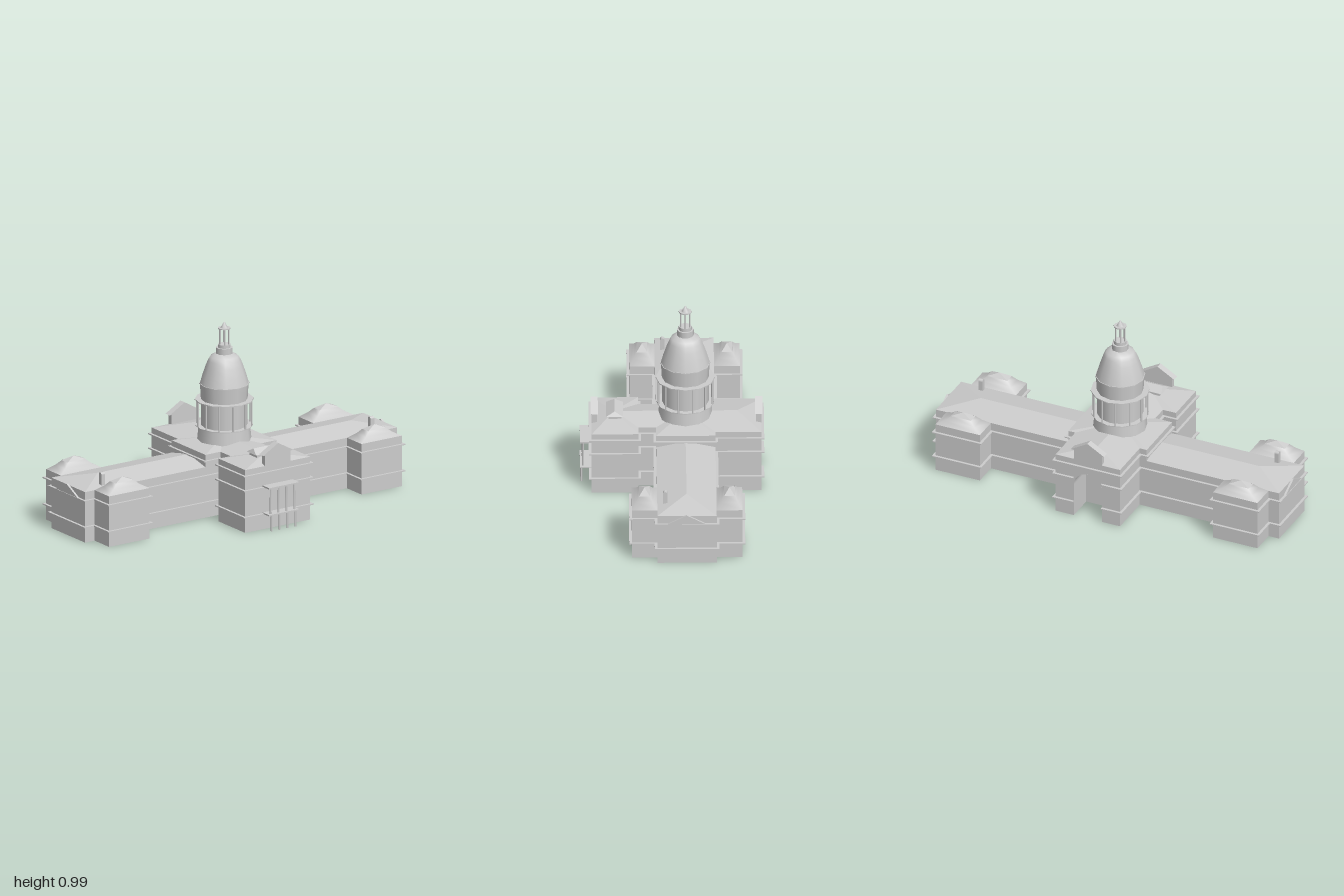
import * as THREE from 'three';
import { ConvexGeometry } from 'three/addons/geometries/ConvexGeometry.js';

export function createModel() {
  const model = new THREE.Group();
  model.name = 'domedCivicBuilding';
  // Double sided because the walls are hollow shells without a floor
  const stone = new THREE.MeshStandardMaterial({ color: 0xcccccc, side: THREE.DoubleSide });
  stone.name = 'paleStone';

  const add = (name, geometry, x = 0, y = 0, z = 0, parent = model) => {
    const mesh = new THREE.Mesh(geometry, stone);
    mesh.name = name;
    mesh.position.set(x, y, z);
    parent.add(mesh);
    return mesh;
  };
  // Box given by its limits
  const block = (name, x0, x1, y0, y1, z0, z1) =>
    add(name, new THREE.BoxGeometry(x1 - x0, y1 - y0, z1 - z0), (x0 + x1) / 2, (y0 + y1) / 2, (z0 + z1) / 2);
  // Upright walls along a ground path of [x, z] corners
  const walls = (name, path, height) => {
    for (let i = 1; i < path.length; i++) {
      const [ax, az] = path[i - 1], [bx, bz] = path[i];
      const wall = add(name, new THREE.PlaneGeometry(Math.hypot(bx - ax, bz - az), height), (ax + bx) / 2, height / 2, (az + bz) / 2);
      wall.rotation.y = Math.atan2(az - bz, bx - ax);
    }
  };
  // Thin string course projecting from a path of square corners
  const ledge = (name, path, y, out = 0.014) => {
    const normal = (a, b) => [-Math.sign(b[1] - a[1]) * out, Math.sign(b[0] - a[0]) * out];
    const outer = path.map((p, i) => {
      const n = i > 0 ? normal(path[i - 1], p) : [0, 0];
      const m = i < path.length - 1 ? normal(p, path[i + 1]) : [0, 0];
      return [p[0] + n[0] + m[0], p[1] + n[1] + m[1]];
    });
    const strip = [...outer, ...[...path].reverse()].map(([x, z]) => new THREE.Vector2(x, -z));
    const geometry = new THREE.ExtrudeGeometry(new THREE.Shape(strip), { depth: 0.006, bevelEnabled: false });
    add(name, geometry.rotateX(-Math.PI / 2), 0, y - 0.003, 0);
  };
  // Mirror a path across x = 0, keeping its direction of travel
  const mirror = (path) => path.map(([x, z]) => [-x, z]).reverse();
  // Hipped roof: rectangular eaves rising to a ridge (or a point)
  const hip = (name, x0, x1, z0, z1, y0, y1, a, b = a) => {
    const v = (x, y, z) => new THREE.Vector3(x, y, z);
    const points = [v(x0, y0, z0), v(x1, y0, z0), v(x1, y0, z1), v(x0, y0, z1), v(a[0], y1, a[1])];
    if (b !== a) points.push(v(b[0], y1, b[1]));
    return add(name, new ConvexGeometry(points));
  };
  // Triangular prism facing z
  const gable = (halfWidth, height, depth) => {
    const s = new THREE.Shape();
    s.moveTo(-halfWidth, 0);
    s.lineTo(halfWidth, 0);
    s.lineTo(0, height);
    s.closePath();
    return new THREE.ExtrudeGeometry(s, { depth, bevelEnabled: false });
  };

  // Long wings with corner pavilions
  const midZ = -0.07;
  const leftWing = [[0.225, 0.083], [0.6695, 0.083], [0.6695, 0.215], [0.9245, 0.215], [0.9245, 0.083], [0.985, 0.083],
    [0.985, -0.225], [0.9245, -0.225], [0.9245, -0.36], [0.6695, -0.36], [0.6695, -0.225], [0.225, -0.225]];
  for (const path of [leftWing, mirror(leftWing)]) {
    walls('wingWall', path, 0.275);
    for (const y of [0.085, 0.229]) ledge('wingLedge', path, y);
  }
  hip('wingRoof', -0.985, 0.985, -0.225, 0.083, 0.275, 0.308, [-0.8, midZ], [0.8, midZ]);

  // Flared four-sided pavilion roof, scaled to each plan
  const flare = [[1, 0.275], [0.66, 0.298], [0.42, 0.323]].map(([r, y]) => new THREE.Vector2(r * Math.SQRT2, y));
  for (const side of [-1, 1]) {
    // Pediment on each end wall
    const pediment = add('endPediment', gable(0.105, 0.054, 0.011), side * 0.985, 0.228, midZ);
    pediment.rotation.y = side * Math.PI / 2;

    // Chimney with a rounded cap
    block('chimney', side * 0.85 - 0.012, side * 0.85 + 0.012, 0.275, 0.338, 0.03, 0.054);
    const cap = add('chimneyCap', new THREE.CylinderGeometry(0.012, 0.012, 0.024, 12), side * 0.85, 0.338, 0.042);
    cap.rotation.z = Math.PI / 2;

    const cx = side * 0.797;
    for (const [z0, z1] of [[0.083, 0.215], [-0.36, -0.225]]) {
      const cz = (z0 + z1) / 2;
      const roof = add('pavilionRoof', new THREE.LatheGeometry(flare, 4, Math.PI / 4), cx, 0, cz);
      roof.scale.set(0.1275, 1, (z1 - z0) / 2);
      hip('pavilionRoofCap', cx - 0.058, cx + 0.058, cz - 0.028, cz + 0.028, 0.322, 0.344, [cx, cz]);
    }
  }

  // Central crossing, neck, front wing and rear wing
  const archR = 0.08, rearZ = -0.465, w = 0.185, top = 0.342;
  const leftCentre = [[0.205, 0.418], [0.205, 0.175], [0.13, 0.175], [0.13, 0.083], [0.225, 0.083],
    [0.225, -0.225], [w, -0.225], [w, rearZ]];
  const centre = [...mirror(leftCentre), ...leftCentre];
  walls('centralWall', centre, top);
  for (const y of [0.085, 0.229]) ledge('centralLedge', [[-archR, rearZ], ...centre, [archR, rearZ]], y);
  ledge('centralCornice', [[0, rearZ], ...centre, [0, rearZ]], 0.308);
  hip('crossingRoof', -0.225, 0.225, -0.225, 0.083, top, 0.372, [0, midZ]);
  hip('neckRoof', -0.13, 0.13, -0.05, 0.3, top, 0.371, [0, -0.05], [0, 0.3]);
  hip('frontWingRoof', -0.205, 0.205, 0.175, 0.418, top, 0.372, [0, 0.3]);
  hip('rearWingRoof', -w, w, rearZ, midZ, top, 0.372, [0, -0.34], [0, midZ]);
  block('skylightBase', -0.07, 0.07, 0.35, 0.382, 0.262, 0.33);
  hip('skylightRoof', -0.084, 0.084, 0.254, 0.342, 0.38, 0.405, [-0.07, 0.298], [0.07, 0.298]);

  // Rear wall with a deep arched entrance
  const spring = 0.185, depth = 0.15;
  const arch = (shape) => {
    shape.lineTo(-archR, spring);
    shape.absarc(0, spring, archR, Math.PI, 0, true);
    shape.lineTo(archR, 0);
    return shape;
  };
  const rearWall = new THREE.Shape();
  rearWall.moveTo(-w, 0);
  rearWall.lineTo(-archR, 0);
  arch(rearWall);
  rearWall.lineTo(w, 0);
  rearWall.lineTo(w, top);
  rearWall.lineTo(-w, top);
  add('rearWall', new THREE.ShapeGeometry(rearWall), 0, 0, rearZ).rotation.y = Math.PI;
  const recess = new THREE.Shape();
  recess.moveTo(-archR, 0);
  add('archBackWall', new THREE.ShapeGeometry(arch(recess)), 0, 0, rearZ + depth).rotation.y = Math.PI;
  for (const s of [-1, 1])
    add('archJamb', new THREE.PlaneGeometry(depth, spring), s * archR, spring / 2, rearZ + depth / 2).rotation.y = -s * Math.PI / 2;
  const vault = new THREE.CylinderGeometry(archR, archR, depth, 16, 1, true, Math.PI / 2, Math.PI);
  add('archVault', vault.rotateX(Math.PI / 2), 0, spring, rearZ + depth / 2);

  // Gabled parapets at the front and rear
  for (const z of [0.404, -0.451]) {
    block('parapet', -0.08, 0.08, 0.335, 0.4, z - 0.014, z + 0.014);
    add('parapetGable', gable(0.095, 0.055, 0.038), 0, 0.4, z - 0.019);
  }

  // Front portico
  block('porticoBalcony', -0.095, 0.095, 0.085, 0.092, 0.418, 0.478);
  block('porticoCanopy', -0.095, 0.095, 0.231, 0.239, 0.418, 0.478);
  for (const x of [-0.075, -0.025, 0.025, 0.075]) {
    add('porticoPier', new THREE.CylinderGeometry(0.005, 0.005, 0.086, 8), x, 0.043, 0.471);
    add('porticoColumn', new THREE.CylinderGeometry(0.004, 0.006, 0.14, 8), x, 0.161, 0.462);
  }

  // Dome tower
  const tower = new THREE.Group();
  tower.name = 'domeTower';
  tower.position.z = midZ;
  model.add(tower);
  const ring = (name, r0, r1, y0, y1, n = 12) =>
    add(name, new THREE.CylinderGeometry(r1, r0, y1 - y0, n), 0, (y0 + y1) / 2, 0, tower);
  const posts = (name, count, radius, r, y0, y1) => {
    for (let i = 0; i < count; i++) {
      const a = (i + 0.5) / count * Math.PI * 2;
      add(name, new THREE.CylinderGeometry(r, r, y1 - y0, 8), Math.sin(a) * radius, (y0 + y1) / 2, Math.cos(a) * radius, tower);
    }
  };
  ring('drumBase', 0.143, 0.134, 0.34, 0.428);
  ring('galleryFloor', 0.15, 0.15, 0.425, 0.43);
  ring('drum', 0.122, 0.122, 0.43, 0.568);
  posts('galleryColumn', 12, 0.145, 0.005, 0.43, 0.568);
  ring('galleryCornice', 0.154, 0.154, 0.566, 0.571);
  ring('upperDrum', 0.122, 0.127, 0.57, 0.655);
  ring('domeLedge', 0.131, 0.131, 0.653, 0.657);
  const profile = [[0.128, 0.655], [0.114, 0.705], [0.098, 0.752], [0.086, 0.782], [0.074, 0.802], [0.044, 0.818], [0, 0.82]];
  add('dome', new THREE.LatheGeometry(profile.map(([r, y]) => new THREE.Vector2(r, y)), 12), 0, 0, 0, tower);

  // Lantern
  ring('lanternBase', 0.044, 0.044, 0.815, 0.85, 10);
  ring('lanternStep', 0.034, 0.034, 0.85, 0.868, 10);
  posts('lanternColumn', 6, 0.027, 0.004, 0.868, 0.953);
  ring('lanternCornice', 0.034, 0.034, 0.951, 0.956, 10);
  add('lanternSpire', new THREE.ConeGeometry(0.021, 0.036, 6), 0, 0.973, 0, tower);

  return model;
}
